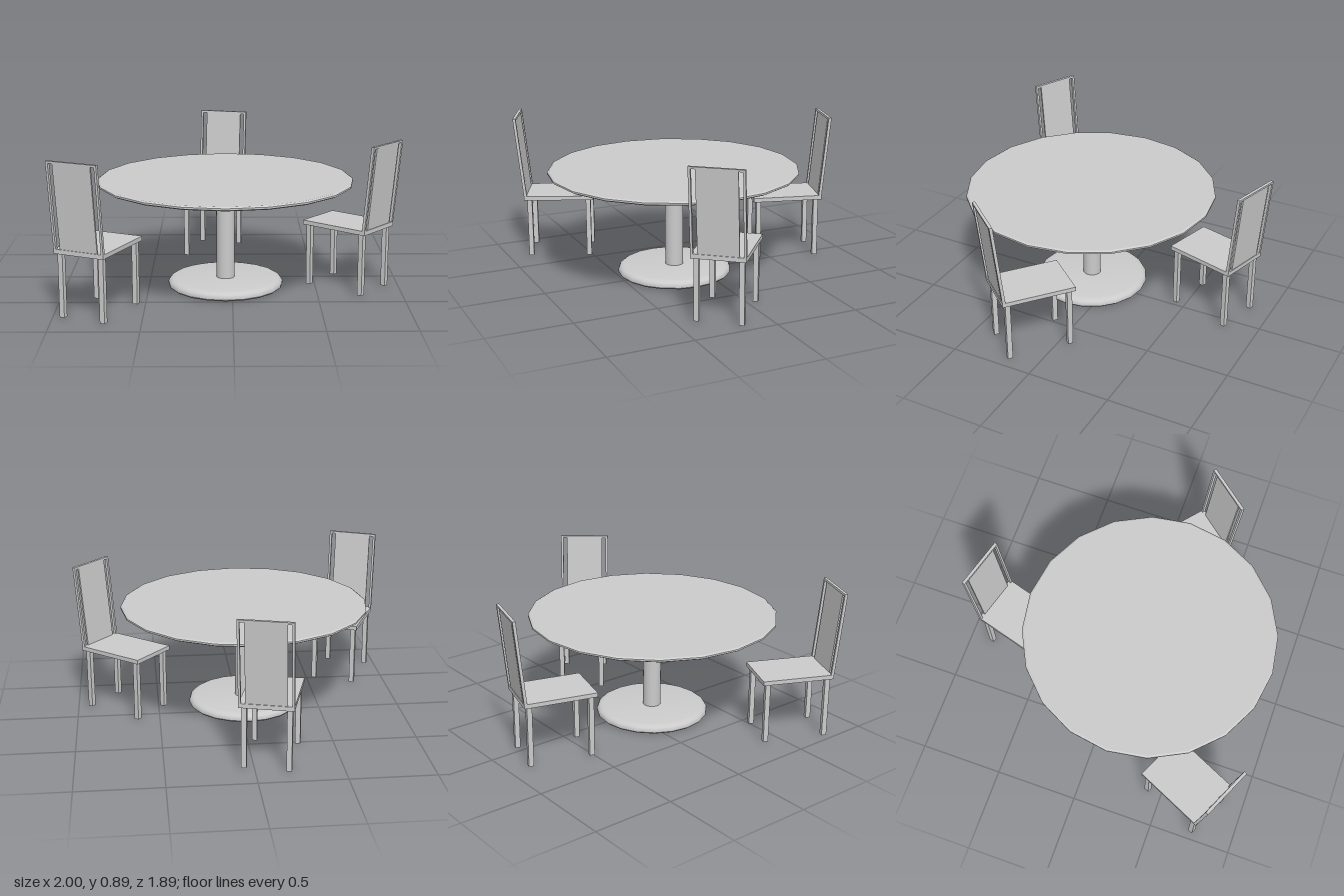
import * as THREE from 'three';
import { toCreasedNormals } from 'three/addons/utils/BufferGeometryUtils.js';

const grey = new THREE.MeshStandardMaterial({ color: 0xcccccc });
const SIDES = 20;

function addMesh(parent, name, geometry) {
  const mesh = new THREE.Mesh(geometry, grey);
  mesh.name = name;
  parent.add(mesh);
  return mesh;
}

function addBox(parent, name, size, position) {
  const mesh = addMesh(parent, name, new THREE.BoxGeometry(...size));
  mesh.position.set(...position);
  return mesh;
}

// Turned part from [radius, height] pairs, keeping sharp edges
function turned(points, crease) {
  const profile = points.map(([r, y]) => new THREE.Vector2(r, y));
  return toCreasedNormals(new THREE.LatheGeometry(profile, SIDES), crease);
}

function createTable() {
  const table = new THREE.Group();
  table.name = 'table';
  addMesh(table, 'tableTop', turned([
    [0, 0.637], [0.745, 0.637], [0.758, 0.644], [0.758, 0.654], [0.747, 0.661], [0, 0.661],
  ], 0.2));
  addMesh(table, 'pedestalColumn', new THREE.CylinderGeometry(0.055, 0.055, 0.59, SIDES))
    .position.y = 0.344;
  addMesh(table, 'pedestalBase', turned([
    [0, 0], [0.335, 0], [0.345, 0.01], [0.345, 0.024], [0.338, 0.037],
    [0.323, 0.046], [0.302, 0.05], [0, 0.05],
  ], 0.7));
  return table;
}

// Chair faces local +z
function createChair(name) {
  const width = 0.312, depth = 0.437;
  const seatTop = 0.396, backTop = 0.895, lean = 0.1;
  const chair = new THREE.Group();
  chair.name = name;
  addBox(chair, 'seat', [width, 0.026, depth], [0, seatTop - 0.013, 0]);
  for (const x of [-0.128, 0.128]) {
    for (const z of [-0.185, 0.185]) {
      addBox(chair, z > 0 ? 'frontLeg' : 'backLeg', [0.03, 0.372, 0.03], [x, 0.186, z]);
    }
  }

  // Backrest members are sheared backwards as they rise
  const leaning = (partName, w, t, x, y0, y1) => {
    const geometry = new THREE.BoxGeometry(w, y1 - y0, t);
    geometry.translate(x, (y0 + y1) / 2, -depth / 2 + 0.009);
    const p = geometry.attributes.position;
    for (let i = 0; i < p.count; i++) {
      p.setZ(i, p.getZ(i) - (p.getY(i) - seatTop) * lean);
    }
    geometry.computeVertexNormals();
    addMesh(chair, partName, geometry);
  };
  for (const side of [-1, 1]) {
    leaning('backPost', 0.014, 0.018, side * (width / 2 - 0.007), seatTop, backTop);
  }
  leaning('backTopRail', width - 0.028, 0.018, 0, backTop - 0.013, backTop);
  leaning('backPanel', 0.234, 0.01, 0, seatTop, backTop - 0.013);
  return chair;
}

export function createModel() {
  const model = new THREE.Group();
  model.name = 'diningSet';
  const table = createTable();
  table.position.set(-0.04, 0, 0.152);
  model.add(table);

  // Chair placement: name, x, z, heading in degrees
  const places = [
    ['backChair', -0.118, -0.648, -15.7],
    ['leftChair', 0.693, 0.157, -129.8],
    ['rightChair', -0.748, 0.633, 155.5],
  ];
  for (const [name, x, z, heading] of places) {
    const chair = createChair(name);
    chair.position.set(x, 0, z);
    chair.rotation.y = THREE.MathUtils.degToRad(heading);
    model.add(chair);
  }
  return model;
}
